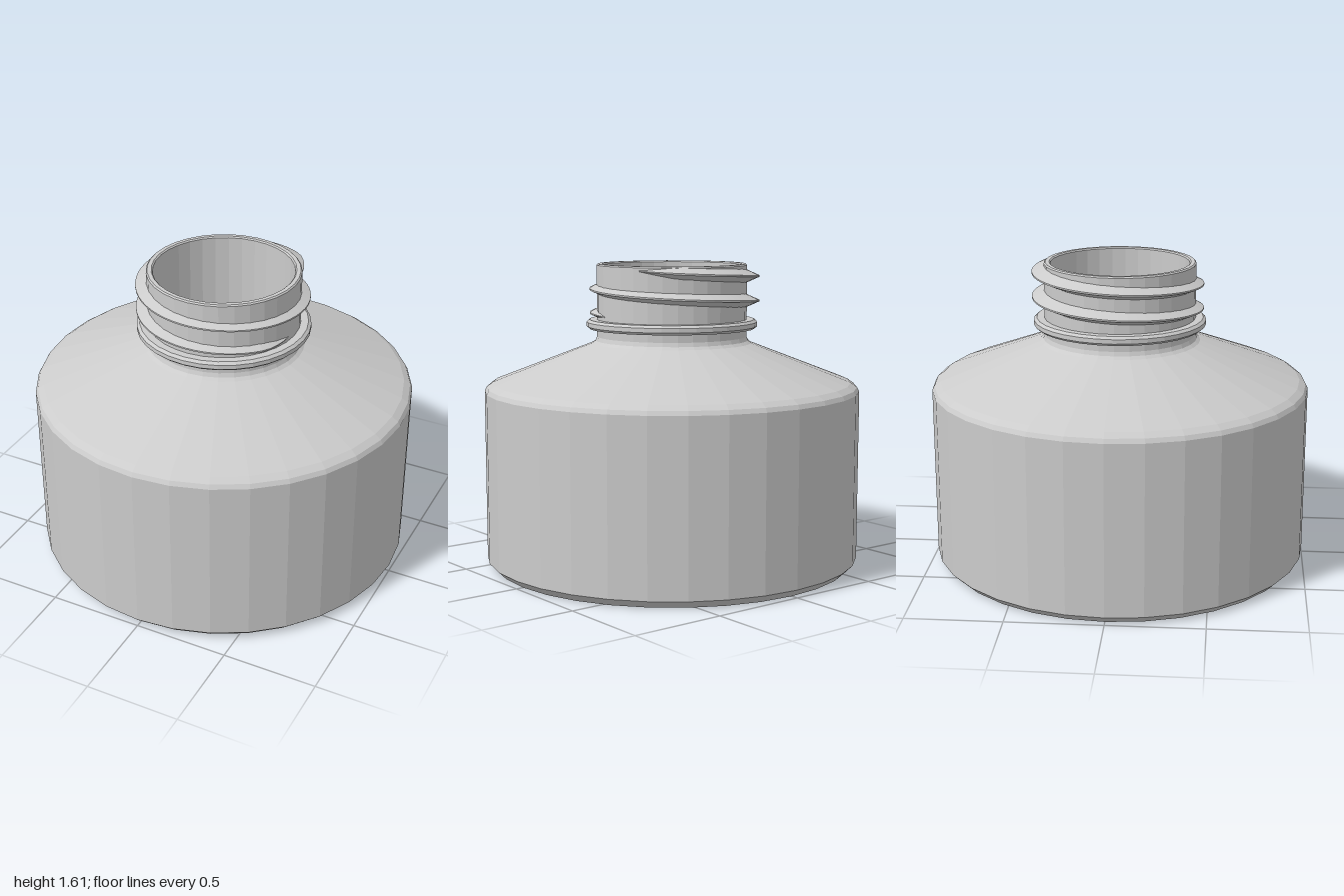
import * as THREE from 'three';

const SEGMENTS = 32;

function lathe(name, profile, material) {
  const points = profile.map(([r, y]) => new THREE.Vector2(r, y));
  const mesh = new THREE.Mesh(new THREE.LatheGeometry(points, SEGMENTS), material);
  mesh.name = name;
  return mesh;
}

// Helical ridge that fades into the neck at both ends
function threadGeometry() {
  const start = 0.33, end = Math.PI * 4, steps = 112, fade = 0.6;
  const positions = [], index = [];
  for (let i = 0; i <= steps; i++) {
    const t = start + (end - start) * i / steps;
    const k = Math.min(1, (t - start) / fade, (end - t) / fade);
    const y = 1.595 - 0.13 * t / (Math.PI * 2);
    const section = [[0.385, -0.034], [0.395 + 0.057 * k, -0.004], [0.395 + 0.057 * k, 0.004], [0.385, 0.034]];
    for (const [r, dy] of section) {
      positions.push(r * Math.cos(t) - 0.01, y + dy * (0.2 + 0.8 * k), -r * Math.sin(t) - 0.01);
    }
    if (i === steps) continue;
    for (let j = 0; j < 3; j++) {
      const a = i * 4 + j, b = a + 4;
      index.push(a, b, a + 1, b, b + 1, a + 1);
    }
  }
  const geometry = new THREE.BufferGeometry();
  geometry.setAttribute('position', new THREE.Float32BufferAttribute(positions, 3));
  geometry.setIndex(index);
  geometry.computeVertexNormals();
  return geometry;
}

export function createModel() {
  const group = new THREE.Group();
  group.name = 'bottle';
  const grey = new THREE.MeshStandardMaterial({ color: 0xcccccc, flatShading: true });
  const red = new THREE.MeshStandardMaterial({ color: 0xe01010, flatShading: true });

  // Outer shell, rounded lip and inner wall in one profile
  group.add(lathe('body', [
    [0, 0], [0.96, 0], [1, 0.04], [1, 0.94], [0.988, 0.962], [0.955, 0.985],
    [0.425, 1.19], [0.408, 1.204], [0.4, 1.225],
    [0.4, 1.603], [0.393, 1.61], [0.372, 1.61], [0.365, 1.603],
    [0.365, 1.2], [0.4, 1.165], [0.92, 0.96], [0.96, 0.92], [0.96, 0.06], [0, 0.06],
  ], grey));

  // Collar below the thread
  group.add(lathe('neckRing', [
    [0.39, 1.267], [0.44, 1.267], [0.455, 1.28], [0.455, 1.303], [0.44, 1.316], [0.39, 1.316],
  ], grey));

  const thread = new THREE.Mesh(threadGeometry(), grey);
  thread.name = 'screwThread';
  group.add(thread);

  // Contents seen through the mouth
  group.add(lathe('liquid', [[0.955, 0.07], [0.955, 0.9], [0, 0.9]], red));
  return group;
}
